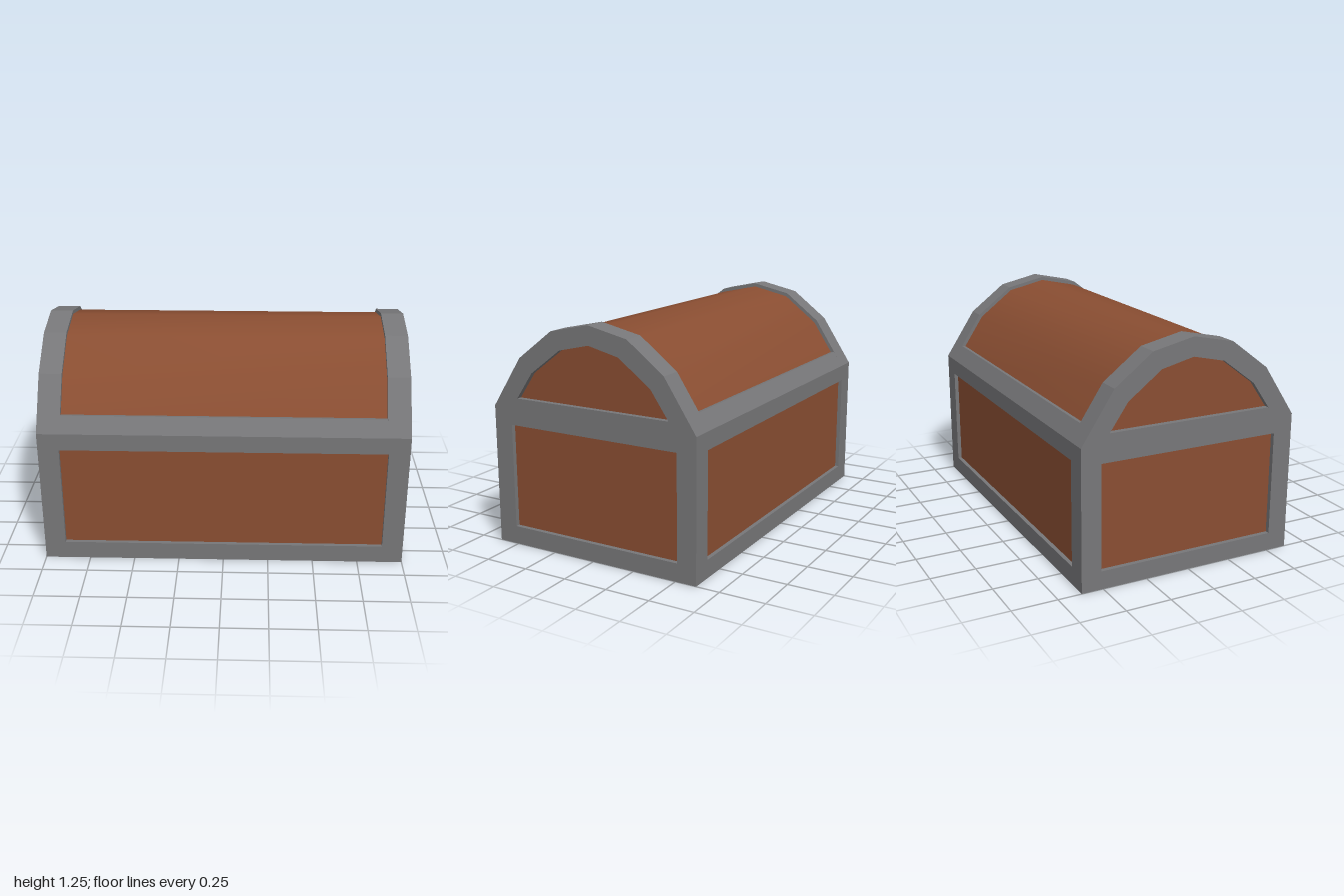
import * as THREE from 'three';

export function createModel() {
  const chest = new THREE.Group();
  chest.name = 'chest';

  const iron = new THREE.MeshStandardMaterial({ color: 0x777779 });
  iron.name = 'grey iron';
  const wood = new THREE.MeshStandardMaterial({ color: 0x8a4e32 });
  wood.name = 'brown wood';

  const add = (name, geometry, material) => {
    const mesh = new THREE.Mesh(geometry, material);
    mesh.name = name;
    chest.add(mesh);
    return mesh;
  };
  const vectors = (points) => points.map(([x, y]) => new THREE.Vector2(x, y));
  // Half profile from +side up to the crown, mirrored to the other side
  const arch = (half) => vectors([...half, ...half.slice(0, -1).reverse().map(([x, y]) => [-x, y])]);
  const rect = (w, y0, y1) => vectors([[w, y0], [w, y1], [-w, y1], [-w, y0]]);
  const extrude = (outline, depth, hole) => {
    const shape = new THREE.Shape(outline);
    if (hole) shape.holes.push(new THREE.Path(hole));
    return new THREE.ExtrudeGeometry(shape, { depth, bevelEnabled: false });
  };

  const archOuter = arch([[0.62, 0.77], [0.44, 1.045], [0.23, 1.205], [0, 1.255]]);
  const archInner = arch([[0.465, 0.825], [0.365, 0.97], [0.18, 1.11], [0, 1.152]]);
  const lidCurve = arch([[0.6, 0.765], [0.424, 1.032], [0.222, 1.186], [0, 1.235]]);

  // Wooden body and iron base
  const body = add('bodyPanels', new THREE.BoxGeometry(1.95, 0.72, 1.195), wood);
  body.position.y = 0.4;
  const base = add('basePlate', new THREE.BoxGeometry(1.95, 0.05, 1.2), iron);
  base.position.y = 0.025;

  // Curved lid: a sheet bent over the arch, smooth across
  const sheet = new THREE.PlaneGeometry(1.76, 1, 1, lidCurve.length - 1);
  const pos = sheet.attributes.position;
  for (let i = 0; i < pos.count; i++) {
    const p = lidCurve[lidCurve.length - 1 - Math.floor(i / 2)];
    pos.setXYZ(i, pos.getX(i), p.y, p.x);
  }
  sheet.computeVertexNormals();
  add('lidPanel', sheet, wood);

  // Front and back: frame around the panel, sloped rail on the lid
  const longFrame = extrude(rect(0.975, 0, 0.77), 0.025, rect(0.885, 0.1, 0.675));
  const railProfile = vectors([[-0.62, 0.77], [-0.54, 0.77], [-0.53, 0.85], [-0.564, 0.855]]);
  const lidRail = extrude(railProfile, 1.76).translate(0, 0, -0.88).rotateY(Math.PI / 2);
  for (const [side, turn] of [['front', 0], ['back', Math.PI]]) {
    const frame = add(side + 'Frame', longFrame.clone().translate(0, 0, 0.595), iron);
    frame.rotation.y = turn;
    const rail = add(side + 'LidRail', lidRail, iron);
    rail.rotation.y = turn;
  }

  // Ends: frame, arched lid rib and recessed lid panel
  const endFrame = extrude(rect(0.62, 0, 0.77), 0.025, rect(0.51, 0.1, 0.675)).translate(0, 0, 0.975);
  const lidRib = extrude(archOuter, 0.125, archInner).translate(0, 0, 0.875);
  const lidEnd = extrude(archInner, 0.02).translate(0, 0, 0.95);
  for (const [side, turn] of [['left', Math.PI / 2], ['right', -Math.PI / 2]]) {
    add(side + 'EndFrame', endFrame, iron).rotation.y = turn;
    add(side + 'LidRib', lidRib, iron).rotation.y = turn;
    add(side + 'LidEndPanel', lidEnd, wood).rotation.y = turn;
  }

  return chest;
}
